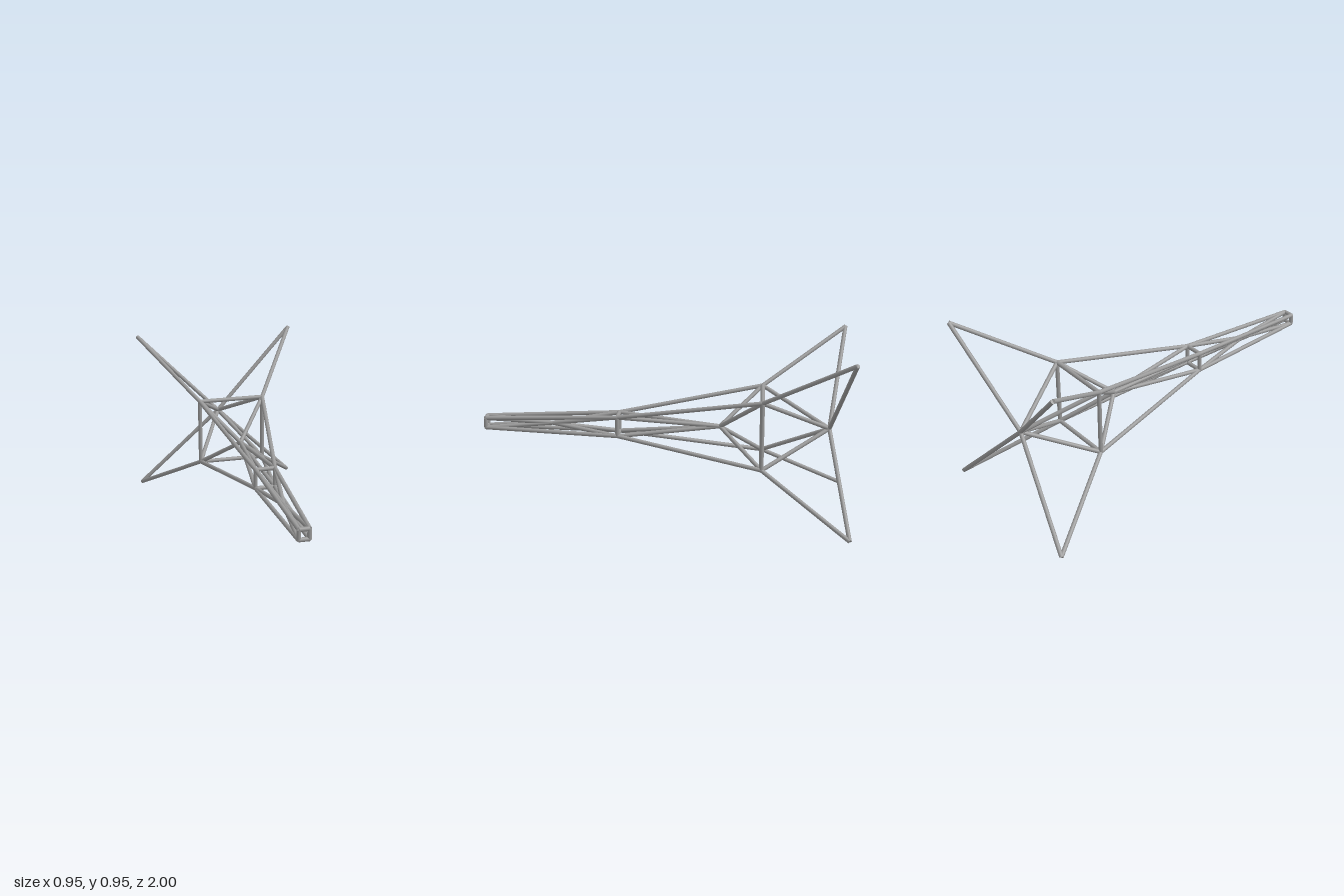
import * as THREE from 'three';

const RADIUS = 0.0115;
const AXIS_Y = 0.475;

export function createModel() {
  const model = new THREE.Group();
  model.name = 'trussFrame';
  const steel = new THREE.MeshStandardMaterial({ color: 0x999999 });
  steel.name = 'grey steel';

  // Smooth round strut between two points
  const strut = (name, a, b) => {
    const dir = b.clone().sub(a);
    const mesh = new THREE.Mesh(new THREE.CylinderGeometry(RADIUS, RADIUS, dir.length(), 16), steel);
    mesh.name = name;
    mesh.position.copy(a).add(b).multiplyScalar(0.5);
    mesh.quaternion.setFromUnitVectors(new THREE.Vector3(0, 1, 0), dir.normalize());
    model.add(mesh);
  };

  // Four corners of a square bay, and nodes on the centre line
  const square = (half, z) => [[1, 1], [-1, 1], [-1, -1], [1, -1]]
    .map(([x, y]) => new THREE.Vector3(x * half, AXIS_Y + y * half, z));
  const node = (z) => new THREE.Vector3(0, AXIS_Y, z);

  const tips = square(0.467, -0.993);
  const rear = square(0.186, -0.531);
  const middle = square(0.053, 0.257);
  const front = square(0.027, 0.988);
  const rearNode = node(-0.896);
  const innerNode = node(-0.302);
  const frontNode = node(0.62);

  for (let i = 0; i < 4; i++) {
    const next = (i + 1) % 4;
    // Square frames
    strut('rearFrame', rear[i], rear[next]);
    strut('middleFrame', middle[i], middle[next]);
    strut('frontFrame', front[i], front[next]);
    // Outer longerons and swept fins
    strut('finLeadingEdge', tips[i], rear[i]);
    strut('finTrailingEdge', tips[i], rearNode);
    strut('rearLongeron', rear[i], middle[i]);
    strut('frontLongeron', middle[i], front[i]);
    // Inner braces meeting on the centre line
    strut('rearBrace', rear[i], rearNode);
    strut('innerBrace', rear[i], innerNode);
    strut('spineBrace', innerNode, middle[i]);
    strut('neckBrace', middle[i], frontNode);
    strut('noseBrace', frontNode, front[i]);
  }
  return model;
}
